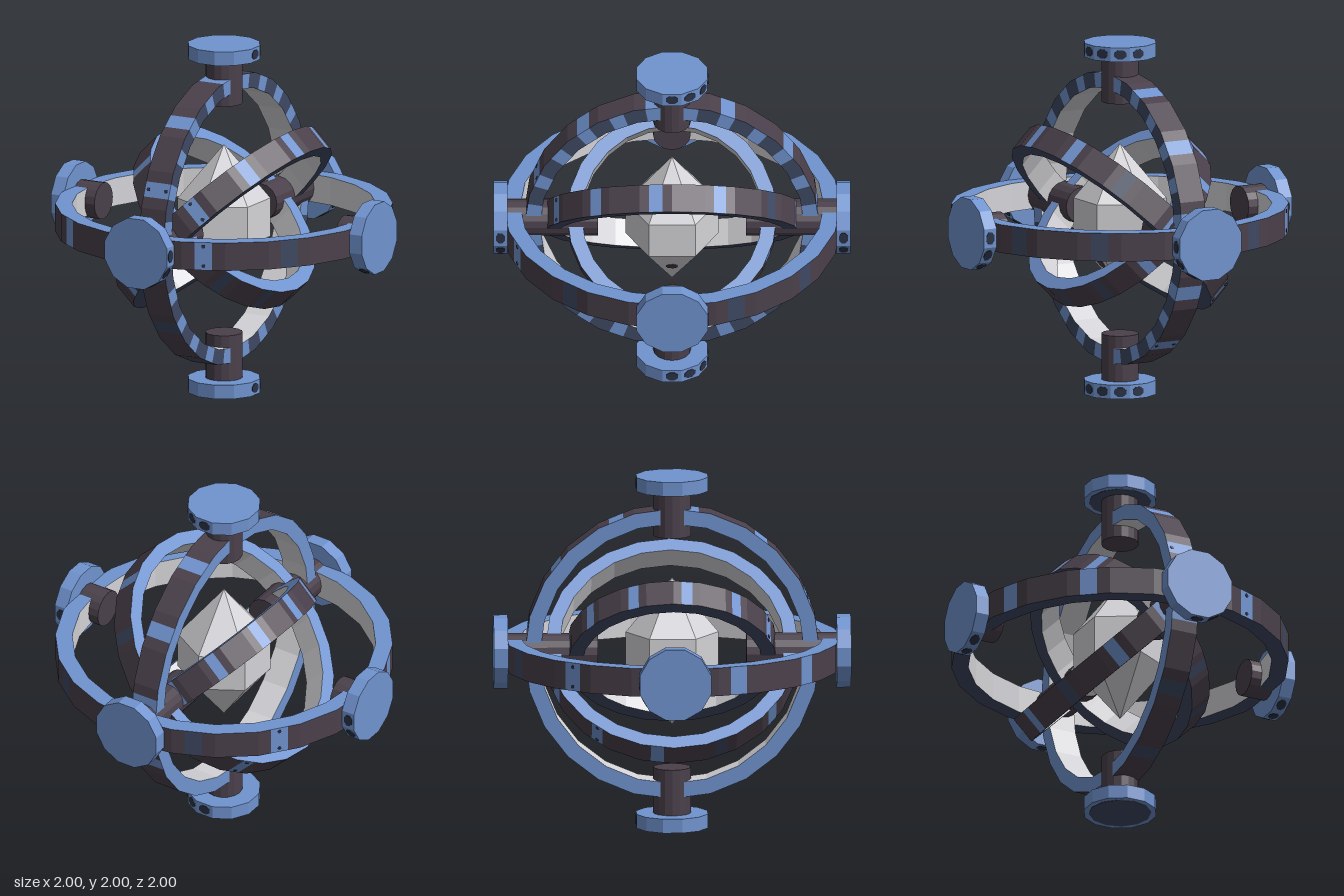
import * as THREE from 'three';

const mat = (name, color) => Object.assign(new THREE.MeshStandardMaterial({ color, flatShading: true }), { name });
const UP = new THREE.Vector3(0, 1, 0);

export function createModel() {
  const model = new THREE.Group();
  model.name = 'gyroscope';
  const core = new THREE.Group();
  core.name = 'ringAssembly';
  core.position.y = 1;
  model.add(core);

  const M = {
    blue: mat('blue', 0x7093cf),
    slate: mat('slate', 0x3e4862),
    brown: mat('darkBrown', 0x4a404b),
    pale: mat('paleGrey', 0xd4d3d7),
    spot: mat('spotNavy', 0x2a3246),
  };

  function addMesh(parent, name, geometry, material) {
    const mesh = new THREE.Mesh(geometry, material);
    mesh.name = name;
    parent.add(mesh);
    return mesh;
  }

  const rivetGeo = new THREE.CylinderGeometry(0.011, 0.011, 0.006, 8);

  // 24-sided flat band about local y; angles run from +z towards +x.
  // slateBands lists the facets with a darker band; slateSide is 'top', 'bottom' or 'striped'.
  function ring({ name, outer, inner, half, tilt, slateBands, slateSide }) {
    const faces = { blue: [], slate: [], brown: [], pale: [] };
    const quad = (key, a, b, c, d) => faces[key].push(...[a, b, c, a, c, d].flat());
    const corner = (i, t, r, y) => {
      const a = (i * Math.PI) / 12, b = ((i + 1) * Math.PI) / 12;
      return [
        r * THREE.MathUtils.lerp(Math.sin(a), Math.sin(b), t), y,
        r * THREE.MathUtils.lerp(Math.cos(a), Math.cos(b), t),
      ];
    };
    const group = new THREE.Group();
    group.name = name;
    group.rotation.z = tilt;
    core.add(group);

    const cuts = [0, 0.3, 0.7, 1];
    for (let i = 0; i < 24; i++) {
      for (let s = 0; s < 3; s++) {
        const p = (end, r, y) => corner(i, cuts[s + end], r, y);
        const middle = s === 1;
        // every second facet carries a painted band on the outside
        let skin = 'brown';
        if (middle && i % 2 === 1) skin = slateBands.includes(i) ? 'slate' : 'blue';
        const over = slateSide === 'top' ? 'slate' : 'blue';
        const under = slateSide === 'bottom' || (slateSide === 'striped' && !middle) ? 'slate' : 'blue';
        quad(skin, p(0, outer, -half), p(1, outer, -half), p(1, outer, half), p(0, outer, half));
        quad('pale', p(1, inner, -half), p(0, inner, -half), p(0, inner, half), p(1, inner, half));
        quad(over, p(0, outer, half), p(1, outer, half), p(1, inner, half), p(0, inner, half));
        quad(under, p(1, outer, -half), p(0, outer, -half), p(0, inner, -half), p(1, inner, -half));
      }
    }
    for (const [key, list] of Object.entries(faces)) {
      const g = new THREE.BufferGeometry();
      g.setAttribute('position', new THREE.Float32BufferAttribute(list, 3));
      g.computeVertexNormals();
      if (list.length) addMesh(group, `${name}_${key}`, g, M[key]);
    }

    // pairs of rivets on two of the bright bands
    for (const i of [1, 15].filter((k) => !slateBands.includes(k))) {
      for (const y of [-0.056, 0.056]) {
        const rivet = addMesh(group, 'rivet', rivetGeo, M.spot);
        rivet.position.set(...corner(i, 0.5, outer, y));
        rivet.quaternion.setFromUnitVectors(UP, rivet.position.clone().setY(0).normalize());
      }
    }
  }

  // Nested rings
  ring({ name: 'horizontalRing', outer: 0.945, inner: 0.85, half: 0.08, tilt: 0,
    slateBands: [3, 5, 7, 9, 11, 13], slateSide: 'bottom' });
  ring({ name: 'verticalRing', outer: 0.826, inner: 0.74, half: 0.08, tilt: Math.PI / 2,
    slateBands: [19, 21], slateSide: 'striped' });
  ring({ name: 'largeTiltedRing', outer: 0.707, inner: 0.63, half: 0.078, tilt: Math.PI / 4,
    slateBands: [9, 19], slateSide: 'bottom' });
  ring({ name: 'smallTiltedRing', outer: 0.587, inner: 0.505, half: 0.078, tilt: (3 * Math.PI) / 4,
    slateBands: [15, 17, 19, 21], slateSide: 'top' });

  // Crystal: hexagonal prism with a point at each end
  const crystal = new THREE.LatheGeometry(
    [[0, -0.42], [0.26, -0.11], [0.26, 0.11], [0, 0.42]].map(([r, y]) => new THREE.Vector2(r, y)), 6);
  addMesh(core, 'crystal', crystal, M.pale);

  // Dark flecks on two lower crystal faces
  const fleckGeo = new THREE.CylinderGeometry(0.035, 0.035, 0.006, 7);
  for (const angle of [Math.PI / 2, (5 * Math.PI) / 6]) {
    const fleck = addMesh(core, 'crystalFleck', fleckGeo, M.brown);
    const x = Math.sin(angle), z = Math.cos(angle);
    fleck.position.set(0.225 * 0.55 * x, -0.11 - 0.31 * 0.45, 0.225 * 0.55 * z);
    fleck.quaternion.setFromUnitVectors(UP, new THREE.Vector3(0.31 * x, -0.225, 0.31 * z).normalize());
  }

  // Six hubs: a stem and a cap, with spots along part of the cap's rim
  const discGeo = new THREE.CylinderGeometry(0.207, 0.207, 0.08, 12).rotateY(Math.PI / 12);
  const spotGeo = new THREE.CylinderGeometry(0.037, 0.037, 0.006, 8).rotateY(Math.PI / 8).scale(1, 1, 0.75);
  const V = (x, y, z) => new THREE.Vector3(x, y, z);
  const hubs = [
    { name: 'side', axis: V(1, 0, 0), u: V(0, 0, -1), v: V(0, -1, 0), stem: 0.775, spots: 5 },
    { name: 'upright', axis: V(0, 1, 0), u: V(1, 0, 0), v: V(0, 0, -1), stem: 0.66, spots: 4 },
    { name: 'depth', axis: V(0, 0, 1), u: V(1, 0, 0), v: V(0, -1, 0), stem: 0.415, spots: 4 },
  ];
  for (const { name, axis, u, v, stem, spots } of hubs) {
    for (const sign of [1, -1]) {
      const out = axis.clone().multiplyScalar(sign);
      const hub = new THREE.Group();
      hub.name = `${name}Hub${sign > 0 ? 'Positive' : 'Negative'}`;
      core.add(hub);

      const frame = new THREE.Matrix4().makeBasis(u, out, u.clone().cross(out));
      const body = new THREE.Group();
      body.name = 'hubBody';
      body.quaternion.setFromRotationMatrix(frame);
      hub.add(body);
      addMesh(body, 'cap', discGeo, M.blue).position.y = 0.96;
      const length = 0.925 - stem;
      addMesh(body, 'stem', new THREE.CylinderGeometry(0.105, 0.105, length, 16), M.brown)
        .position.y = stem + length / 2;

      for (let k = 0; k < spots; k++) {
        const a = (k * Math.PI) / 6;
        const dir = u.clone().multiplyScalar(Math.cos(a)).addScaledVector(v, Math.sin(a));
        const spot = addMesh(hub, 'rimSpot', spotGeo, M.spot);
        spot.quaternion.setFromRotationMatrix(
          new THREE.Matrix4().makeBasis(dir.clone().cross(out), dir, out));
        spot.position.copy(dir).multiplyScalar(0.2).addScaledVector(out, 0.96);
      }
    }
  }

  // Dark centres under the top and bottom caps
  const patchGeo = new THREE.CylinderGeometry(0.175, 0.175, 0.004, 12);
  for (const y of [-1, 0.92]) addMesh(core, 'capUnderside', patchGeo, M.slate).position.y = y;
  return model;
}
